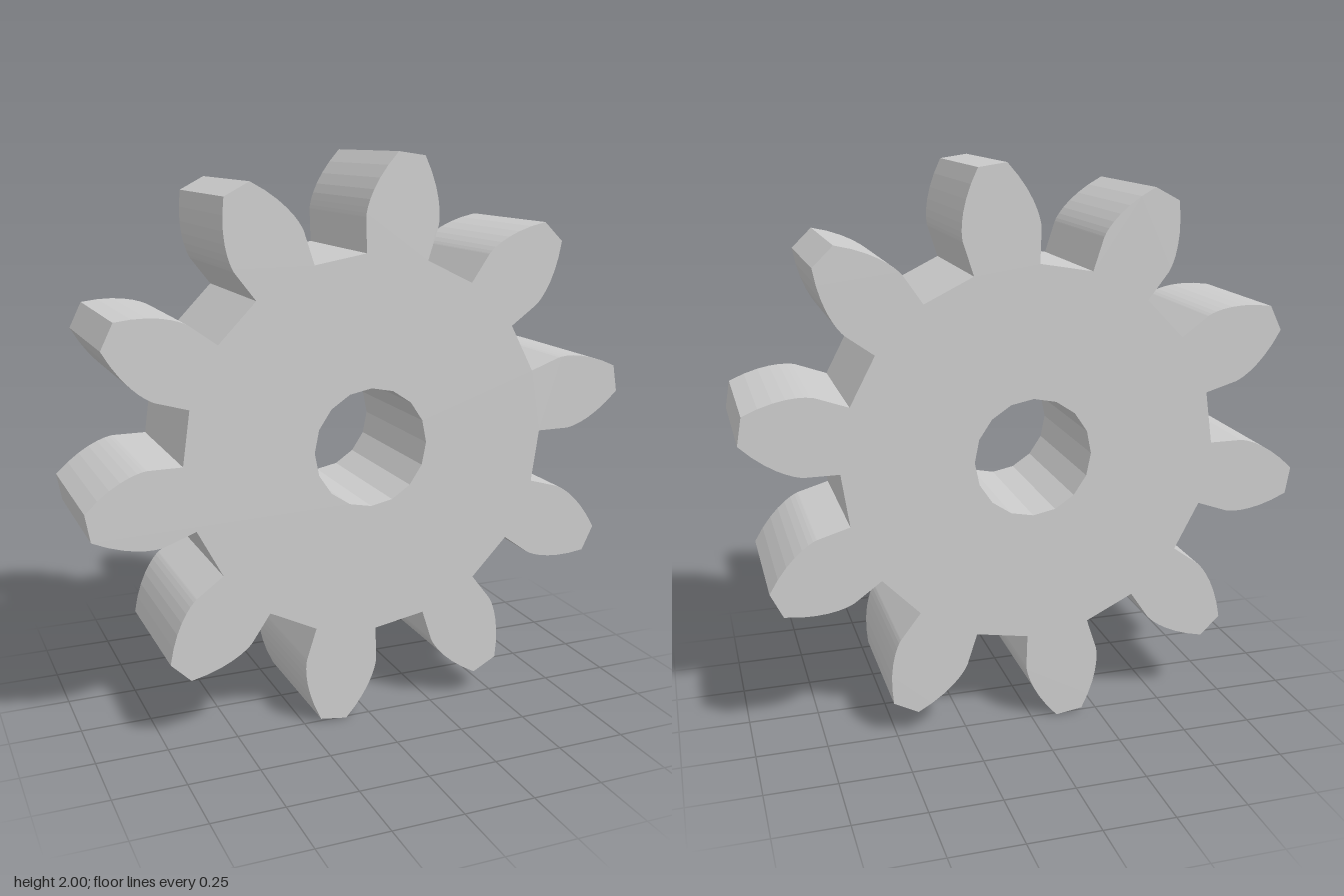
import * as THREE from 'three';

// Spur gear: involute teeth with radial flanks below the base circle
const TEETH = 10;
const OUTER = 1.0044;
const PITCH = OUTER * TEETH / (TEETH + 2);
const ROOT = PITCH * 0.8;
const PRESSURE = THREE.MathUtils.degToRad(20);
const BASE = PITCH * Math.cos(PRESSURE);
const BORE = 0.21;
const BORE_SIDES = 16;
const WIDTH = 0.525;
const FLANK_STEPS = 8;

const polar = (r, a) => new THREE.Vector2(r * Math.cos(a), r * Math.sin(a));

// One flank as [radius, half angle of the tooth], from root to tip
function flankProfile() {
  const half = Math.PI / (2 * TEETH) + Math.tan(PRESSURE) - PRESSURE;
  const tMax = Math.sqrt((OUTER / BASE) ** 2 - 1);
  const profile = [[ROOT, half]];
  for (let i = 0; i <= FLANK_STEPS; i++) {
    const t = tMax * i / FLANK_STEPS;
    profile.push([BASE * Math.hypot(1, t), half - (t - Math.atan(t))]);
  }
  return profile;
}

export function createModel() {
  const group = new THREE.Group();
  group.name = 'spurGear';

  // Toothed outline, each tooth mirrored about its own axis
  const flank = flankProfile();
  const phase = flank[0][1];
  const outline = [];
  for (let i = 0; i < TEETH; i++) {
    const axis = phase + i * 2 * Math.PI / TEETH;
    for (const [r, a] of flank) outline.push(polar(r, axis - a));
    for (const [r, a] of [...flank].reverse()) outline.push(polar(r, axis + a));
  }
  const shape = new THREE.Shape(outline);

  // Faceted centre bore
  const bore = [];
  for (let i = 0; i < BORE_SIDES; i++) bore.push(polar(BORE, -i * 2 * Math.PI / BORE_SIDES));
  shape.holes.push(new THREE.Path(bore));

  const geometry = new THREE.ExtrudeGeometry(shape, { depth: WIDTH, bevelEnabled: false });
  geometry.translate(0, 1, -WIDTH / 2);
  const gear = new THREE.Mesh(
    geometry,
    new THREE.MeshStandardMaterial({ color: 0xcccccc, flatShading: true })
  );
  gear.name = 'gearBody';
  group.add(gear);
  return group;
}
